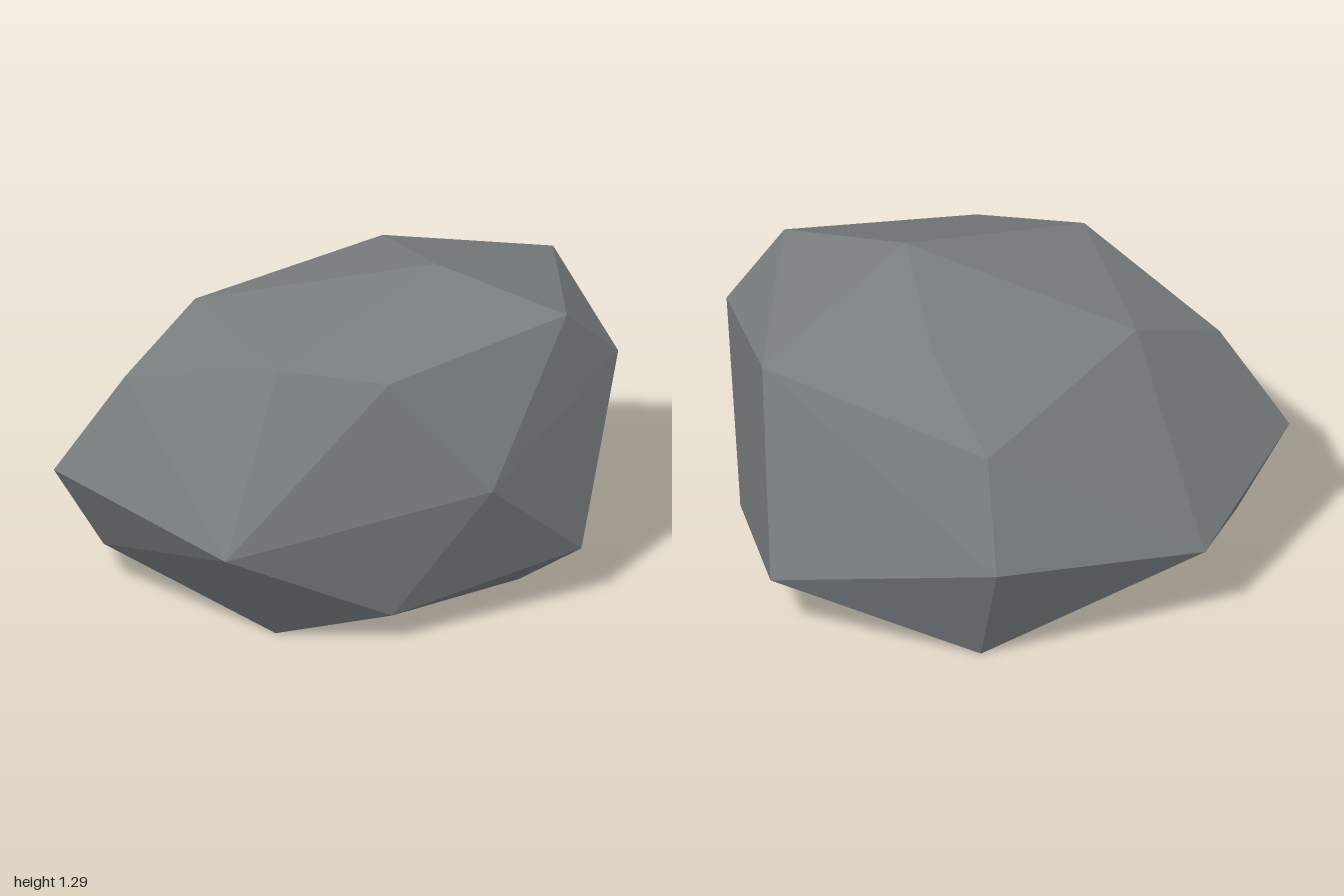
import * as THREE from 'three';
import { ConvexGeometry } from 'three/addons/geometries/ConvexGeometry.js';

// Corner points of the boulder, in rings from the ground up
const corners = [
  // flat underside
  [-0.48, 0, -0.17], [-0.34, 0, 0.475], [0.65, 0, 0.39], [0.77, 0, -0.1], [0.25, 0, -0.6],
  // lower ring
  [-0.8, 0.175, -0.1], [0.03, 0.12, 0.71], [0.8, 0.225, 0.645], [1, 0.2, 0.22],
  [1, 0.28, -0.39], [-0.59, 0.35, -0.6],
  // widest ring
  [-1, 0.525, -0.09], [-0.63, 0.47, 0.72], [0.39, 0.615, 0.805], [0.23, 0.485, -0.81],
  // shoulder
  [-0.755, 0.91, 0], [1, 0.94, 0.5], [0.23, 0.89, -0.63],
  // crown
  [-0.41, 1.083, -0.18], [-0.34, 1.105, 0.5], [0.03, 1.067, 0.68], [0.77, 1.167, 0.573],
  [0.985, 1.065, -0.14], [0.37, 1.15, -0.29], [0.38, 1.287, 0.237],
];

export function createModel() {
  const group = new THREE.Group();
  group.name = 'rock';

  const stone = new THREE.MeshStandardMaterial({ color: 0x787d7e, flatShading: true });
  stone.name = 'stone grey';

  // Faceted boulder wrapped around its corners
  const boulder = new THREE.Mesh(
    new ConvexGeometry(corners.map((c) => new THREE.Vector3(...c))), stone);
  boulder.name = 'boulder';
  group.add(boulder);
  return group;
}
